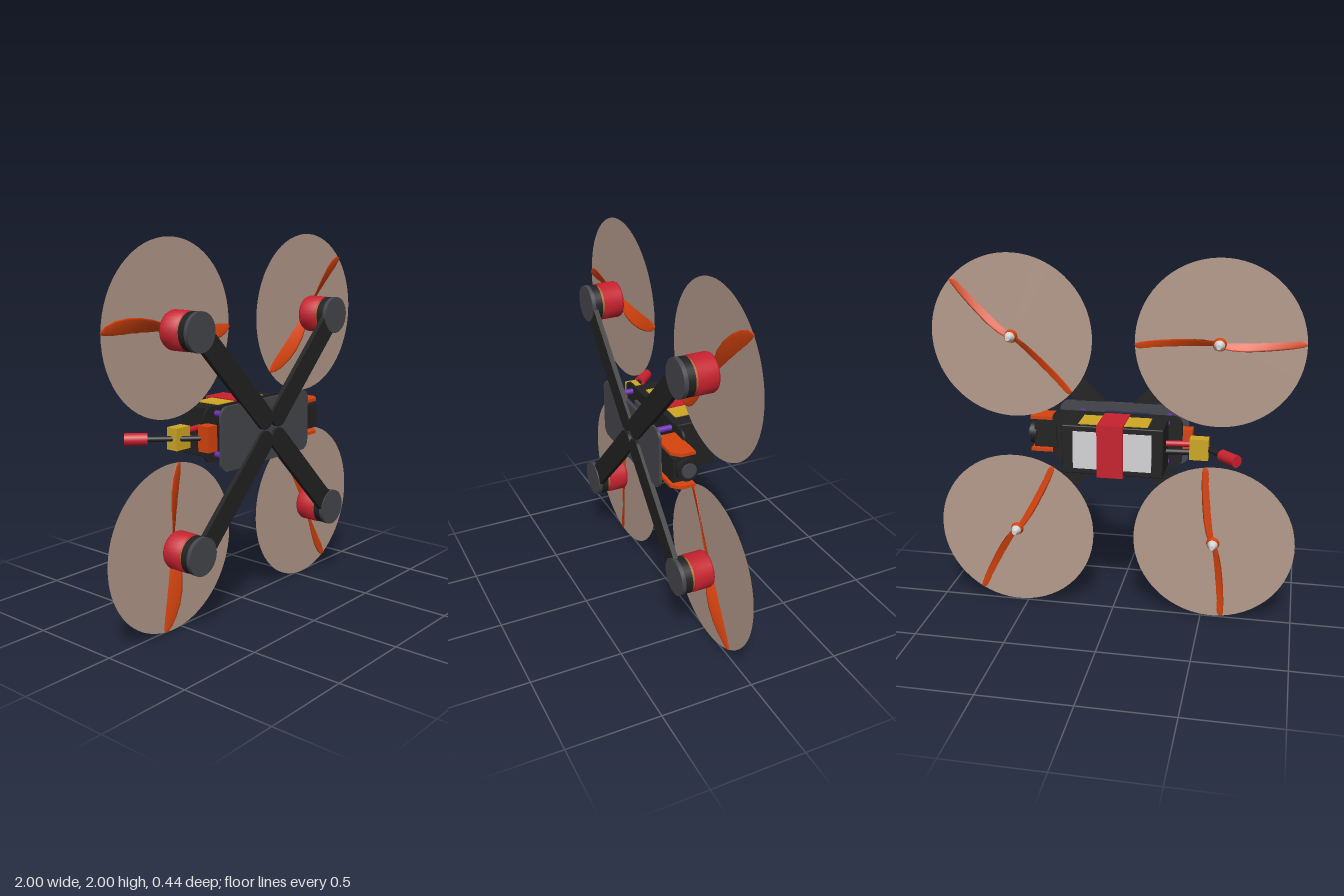
import * as THREE from 'three';
import { RoundedBoxGeometry } from 'three/addons/geometries/RoundedBoxGeometry.js';

const mat = (name, color, side = THREE.FrontSide) => {
  const m = new THREE.MeshStandardMaterial({ color, side });
  m.name = name;
  return m;
};
const CY = 1.0025; // height of the airframe centre

export function createModel() {
  const M = {
    carbon: mat('carbon black', 0x222223),
    graphite: mat('graphite', 0x46474d),
    orange: mat('orange', 0xd8440f),
    red: mat('red', 0xc8222f),
    disc: mat('propeller blur', 0xb59b8c, THREE.DoubleSide),
    silver: mat('silver', 0xd6d6d8),
    yellow: mat('yellow', 0xd0a824),
    purple: mat('purple', 0x6a30b0),
    navy: mat('navy', 0x27335c),
    copper: mat('copper', 0xb8692c),
  };
  const model = new THREE.Group();
  model.name = 'quadcopter';

  const add = (name, geo, material, x = 0, y = 0, z = 0, parent = model) => {
    const m = new THREE.Mesh(geo, material);
    m.name = name;
    m.position.set(x, y, z);
    parent.add(m);
    return m;
  };
  // box given by its limits on each axis
  const box = (name, material, x0, x1, y0, y1, z0, z1) =>
    add(name, new THREE.BoxGeometry(x1 - x0, y1 - y0, z1 - z0), material,
      (x0 + x1) / 2, (y0 + y1) / 2, (z0 + z1) / 2);
  // cylinder along z from z0 to z1; r0 is the radius at z0
  const cylZ = (name, material, r0, r1, z0, z1, x, y, parent = model) => {
    const g = new THREE.CylinderGeometry(r1, r0, z1 - z0, 32).rotateX(Math.PI / 2);
    return add(name, g, material, x, y, (z0 + z1) / 2, parent);
  };
  // rod between two points
  const rod = (name, material, a, b, r, sides = 16) => {
    const A = new THREE.Vector3(...a), B = new THREE.Vector3(...b);
    const m = add(name, new THREE.CylinderGeometry(r, r, A.distanceTo(B), sides), material);
    m.position.copy(A).lerp(B, 0.5);
    m.quaternion.setFromUnitVectors(new THREE.Vector3(0, 1, 0), B.sub(A).normalize());
    return m;
  };
  // flat plate with rounded corners, from z0 to z1
  const plate = (name, material, w, h, r, z0, z1, x, y) => {
    const s = new THREE.Shape(), a = w / 2 - r, b = h / 2 - r;
    s.absarc(a, b, r, 0, Math.PI / 2);
    s.absarc(-a, b, r, Math.PI / 2, Math.PI);
    s.absarc(-a, -b, r, Math.PI, Math.PI * 1.5);
    s.absarc(a, -b, r, Math.PI * 1.5, Math.PI * 2);
    const g = new THREE.ExtrudeGeometry(s, { depth: z1 - z0, bevelEnabled: false, curveSegments: 10 });
    return add(name, g, material, x, y, z0);
  };

  // twisted blade: [radius, leading width, trailing width, leading-edge lift]
  const stations = [
    [0.02, 0.022, 0.022, 0.014], [0.07, 0.036, 0.03, 0.027], [0.14, 0.054, 0.034, 0.035],
    [0.22, 0.067, 0.032, 0.032], [0.3, 0.068, 0.027, 0.024], [0.37, 0.056, 0.02, 0.014],
    [0.42, 0.036, 0.012, 0.007], [0.443, 0.012, 0.004, 0.002],
  ];
  const bladeGeometry = (spin) => {
    const N = 10, pos = [], idx = [];
    for (const [r, lead, trail, lift] of stations) {
      const slope = lift / lead, mid = (lead - trail) / 2, half = (lead + trail) / 2;
      for (let j = 0; j < N; j++) {
        const t = (j / N) * Math.PI * 2, u = mid + half * Math.cos(t);
        pos.push(r, u * spin, u * slope + 0.005 * Math.sin(t));
      }
    }
    const tri = (a, b, c) => (spin > 0 ? idx.push(a, b, c) : idx.push(a, c, b));
    for (let i = 0; i < stations.length - 1; i++) {
      for (let j = 0; j < N; j++) {
        const a = i * N + j, b = i * N + ((j + 1) % N);
        tri(a, b, a + N);
        tri(b, b + N, a + N);
      }
    }
    const last = (stations.length - 1) * N;
    for (let j = 1; j < N - 1; j++) tri(last, last + j, last + j + 1);
    const g = new THREE.BufferGeometry();
    g.setAttribute('position', new THREE.Float32BufferAttribute(pos, 3));
    g.setIndex(idx);
    g.computeVertexNormals();
    return g;
  };

  // motor, propeller and arm at each corner: [x side, y side, blade angle, spin]
  const bell = [[0, 0.028], [0.082, 0.028], [0.094, 0.033], [0.1, 0.045], [0.1, 0.142], [0, 0.142]]
    .map(([r, z]) => new THREE.Vector2(r, z));
  for (const [sx, sy, deg, spin] of [[-1, 1, 178, -1], [1, 1, 42, 1], [-1, -1, -98, 1], [1, -1, -60, -1]]) {
    const x = sx * 0.557, y = CY + sy * 0.557;
    const arm = plate('arm', M.carbon, 0.83, 0.12, 0.0598, 0.187, 0.214, sx * 0.308, CY + sy * 0.315);
    arm.rotation.z = sx * sy * Math.PI / 4;

    const motor = new THREE.Group();
    motor.name = 'motor';
    motor.position.set(x, y, 0);
    model.add(motor);
    cylZ('motorFoot', M.graphite, 0.1, 0.1, 0.198, 0.22, 0, 0, motor);
    cylZ('motorBase', M.carbon, 0.098, 0.098, 0.158, 0.198, 0, 0, motor);
    cylZ('motorWindings', M.copper, 0.086, 0.086, 0.14, 0.16, 0, 0, motor);
    add('motorBell', new THREE.LatheGeometry(bell, 32).rotateX(Math.PI / 2), M.red, 0, 0, 0, motor)
      .material = M.red;
    cylZ('propellerHub', M.orange, 0.03, 0.042, -0.018, 0.03, 0, 0, motor);
    cylZ('propellerNut', M.silver, 0.013, 0.028, -0.058, -0.018, 0, 0, motor);

    const prop = new THREE.Group();
    prop.name = 'propeller';
    prop.position.set(x, y, 0.008);
    prop.rotation.z = deg * Math.PI / 180;
    model.add(prop);
    for (const turn of [0, Math.PI]) {
      add('blade', bladeGeometry(spin), M.orange, 0, 0, 0, prop).rotation.z = turn;
    }
    add('propellerDisc', new THREE.CircleGeometry(0.443, 64), M.disc, 0, 0, 0, prop);
  }

  // frame plates, standoffs and stacked boards
  plate('bottomPlate', M.graphite, 0.725, 0.335, 0.05, 0.182, 0.197, -0.028, CY);
  plate('topPlate', M.carbon, 0.72, 0.29, 0.05, 0.056, 0.068, -0.01, CY);
  for (const x of [-0.285, 0.205]) {
    for (const y of [-0.108, 0.108]) cylZ('standoff', M.purple, 0.016, 0.016, 0.05, 0.184, x, CY + y);
  }
  box('flightBoard', M.graphite, -0.165, 0.06, 0.89, 1.115, 0.095, 0.109);
  box('speedBoard', M.navy, -0.18, 0.075, 0.875, 1.13, 0.142, 0.156);
  rod('capacitor', M.carbon, [-0.25, 0.93, 0.125], [-0.25, 1.075, 0.125], 0.03);

  // battery with labels and strap
  add('battery', new RoundedBoxGeometry(0.54, 0.266, 0.218, 2, 0.006), M.carbon, -0.025, CY, -0.057);
  for (const s of [-1, 1]) {
    const y = CY + s * 0.135;
    box('sideLabel', M.yellow, -0.21, 0.16, y - 0.003, y + 0.003, -0.138, 0.02);
  }
  box('backLabel', M.silver, -0.235, 0.185, 0.9, 1.105, -0.17, -0.163);
  box('strap', M.red, -0.085, 0.055, CY - 0.144, CY + 0.144, -0.179, 0.055);

  // battery lead
  box('connector', M.yellow, -0.52, -0.42, 0.945, 1.06, -0.055, 0.012);
  rod('positiveLead', M.red, [-0.28, 1.025, -0.04], [-0.43, 1.025, -0.025], 0.016);
  rod('negativeLead', M.carbon, [-0.28, 0.98, -0.04], [-0.43, 0.98, -0.025], 0.016);

  // antenna on its mount
  box('antennaMount', M.orange, -0.422, -0.355, 0.935, 1.07, 0.068, 0.137);
  rod('antennaMast', M.carbon, [-0.385, CY, 0.105], [-0.61, CY, -0.125], 0.014);
  rod('antennaTip', M.red, [-0.597, CY, -0.115], [-0.68, CY, -0.198], 0.032, 24);

  // camera between its side plates
  box('cameraBody', M.carbon, 0.325, 0.45, 0.935, 1.07, 0.045, 0.175);
  rod('cameraLens', M.carbon, [0.44, CY, 0.1], [0.475, CY, 0.1], 0.062, 24);
  rod('lensRing', M.graphite, [0.47, CY, 0.1], [0.485, CY, 0.1], 0.04, 24);
  const cheek = new THREE.Shape();
  cheek.moveTo(0.25, 0.062);
  cheek.lineTo(0.475, 0.062);
  cheek.lineTo(0.475, 0.14);
  cheek.lineTo(0.43, 0.183);
  cheek.lineTo(0.25, 0.183);
  const cheekGeo = new THREE.ExtrudeGeometry(cheek, { depth: 0.018, bevelEnabled: false }).rotateX(Math.PI / 2);
  for (const y of [0.919, 1.104]) add('cameraCheek', cheekGeo, M.orange, 0, y, 0);

  return model;
}
